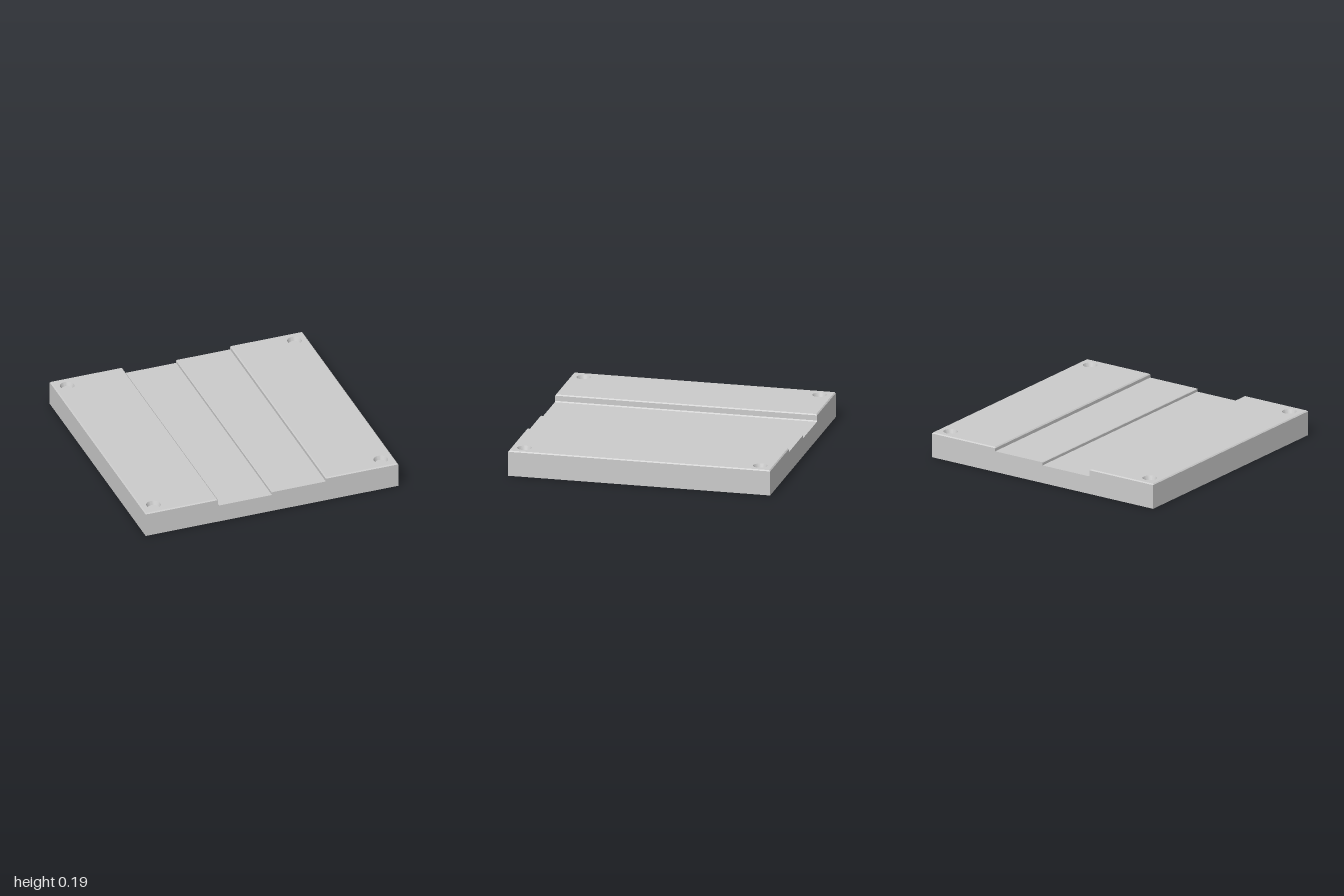
import * as THREE from 'three';
import { toCreasedNormals } from 'three/addons/utils/BufferGeometryUtils.js';

const H = 0.194, C = 0.008;          // plate height, edge chamfer
const LOW = 0.138, MID = 0.162;      // channel floor levels
const STEP = 0.427;                  // inner edge of the rails
const HOLE = 0.9, R_TOP = 0.054, R_FLOOR = 0.043, DEPTH = 0.03;

// Cross-section, running from left to right over the top
const profile = [
  [-1, 0], [-1, H - C], [-1 + C, H],
  [-STEP - C, H], [-STEP, H - C], [-STEP, LOW + C], [-STEP + C, LOW],
  [0, LOW], [0, MID - 0.004], [0.004, MID],
  [STEP, MID], [STEP, H - C], [STEP + C, H],
  [1 - C, H], [1, H - C], [1, 0],
];
const endProfile = profile.map(([x, y]) => [x, Math.min(y, H - C)]);

// Long faces: the cross-section swept along z, with the rail tops left open
function sweptFaces() {
  const rings = [
    { z: 1, pts: endProfile }, { z: 1 - C, pts: profile },
    { z: C - 1, pts: profile }, { z: -1, pts: endProfile },
  ];
  const pos = [];
  for (let r = 0; r < 3; r++) {
    const front = rings[r], back = rings[r + 1];
    for (let i = 0; i < profile.length; i++) {
      const j = (i + 1) % profile.length;
      const railTop = profile[i][1] === H && profile[j][1] === H;
      if (r === 1 && railTop) continue;
      const a0 = [...front.pts[i], front.z], b0 = [...front.pts[j], front.z];
      const a1 = [...back.pts[i], back.z], b1 = [...back.pts[j], back.z];
      pos.push(...a0, ...b0, ...b1, ...a0, ...b1, ...a1);
    }
  }
  const g = new THREE.BufferGeometry();
  g.setAttribute('position', new THREE.Float32BufferAttribute(pos, 3));
  g.computeVertexNormals();
  return g;
}

// Flat end wall; mirror = -1 prepares it for turning to the back
function endWall(mirror) {
  const shape = new THREE.Shape(endProfile.map(([x, y]) => new THREE.Vector2(x * mirror, y)));
  return new THREE.ShapeGeometry(shape).translate(0, 0, 1);
}

// Rail top with two round openings
function railTop(side) {
  const inner = side * (STEP + C), outer = side * (1 - C), d = 1 - C;
  const shape = new THREE.Shape([
    new THREE.Vector2(inner, -d), new THREE.Vector2(outer, -d),
    new THREE.Vector2(outer, d), new THREE.Vector2(inner, d),
  ]);
  for (const s of [-1, 1]) {
    shape.holes.push(new THREE.Path().absarc(side * HOLE, s * HOLE, R_TOP, 0, Math.PI * 2, true));
  }
  return new THREE.ShapeGeometry(shape, 24).rotateX(-Math.PI / 2).translate(0, H, 0);
}

export function createModel() {
  const model = new THREE.Group();
  model.name = 'steppedPlate';
  const material = new THREE.MeshStandardMaterial({ color: 0xcccccc });
  const add = (name, geometry) => {
    const mesh = new THREE.Mesh(geometry, material);
    mesh.name = name;
    model.add(mesh);
    return mesh;
  };

  // Plate body
  add('plateBody', sweptFaces());
  add('frontWall', endWall(1));
  add('backWall', endWall(-1)).rotation.y = Math.PI;

  // Rails and their corner recesses
  const recess = toCreasedNormals(new THREE.LatheGeometry([
    new THREE.Vector2(R_TOP, H),
    new THREE.Vector2(R_FLOOR, H - DEPTH),
    new THREE.Vector2(0, H - DEPTH),
  ], 48), 0.5);
  for (const side of [-1, 1]) {
    const label = side > 0 ? 'left' : 'right';
    add(label + 'RailTop', railTop(side));
    for (const end of [-1, 1]) {
      add(label + (end > 0 ? 'Front' : 'Back') + 'Recess', recess)
        .position.set(side * HOLE, 0, end * HOLE);
    }
  }
  return model;
}
